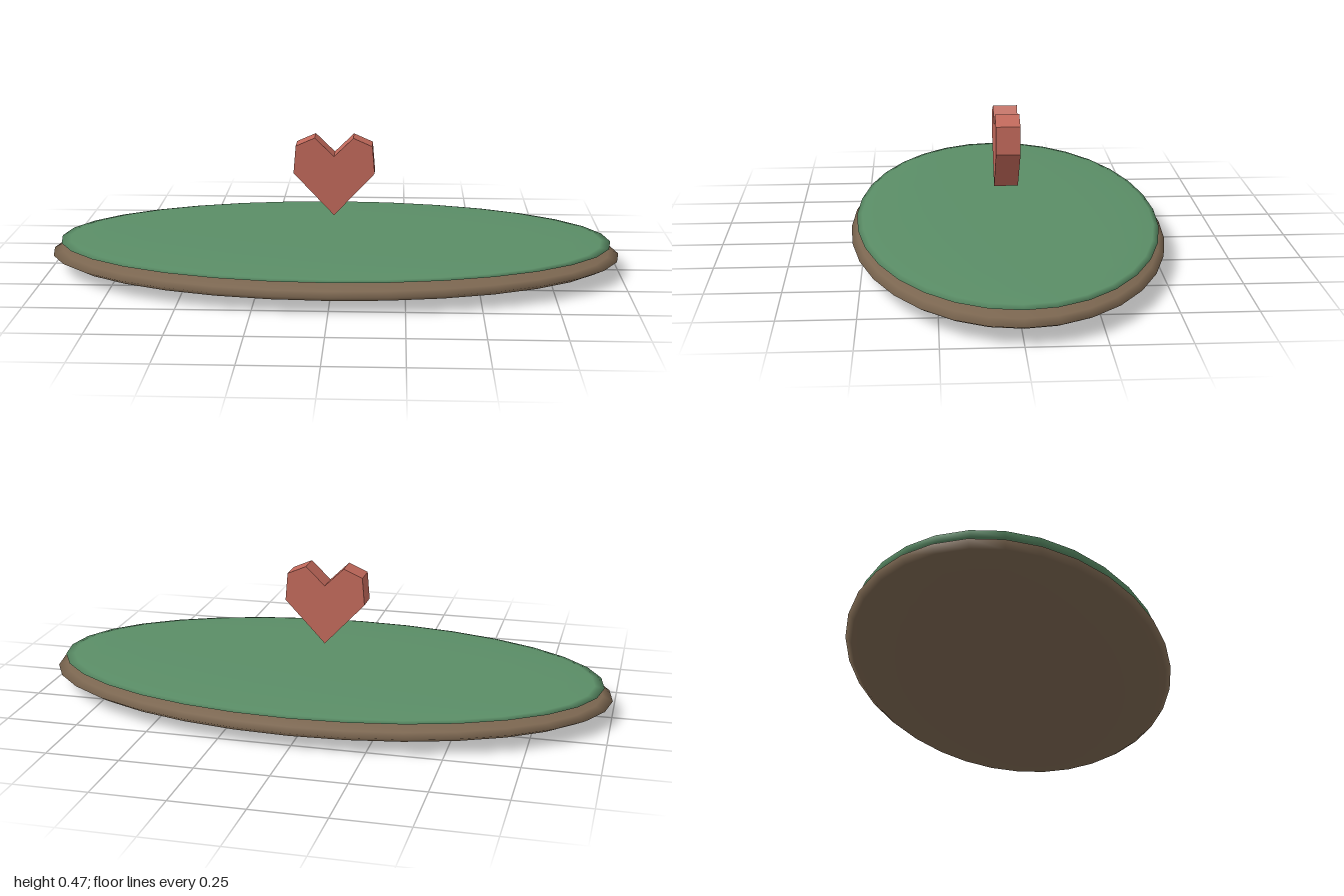
import * as THREE from 'three';

export function createModel() {
  const model = new THREE.Group();
  const material = (name, color) => {
    const m = new THREE.MeshStandardMaterial({ color });
    m.name = name;
    return m;
  };
  const soil = material('soil brown', 0x7b6650);
  const grass = material('grass green', 0x5a8d66);
  const red = material('heart red', 0xc0685a);

  // Flattened spheres: soil base with a thinner grass layer above it
  const disc = (name, mat, rx, ry, rz, y) => {
    const geometry = new THREE.SphereGeometry(1, 32, 12);
    geometry.scale(rx, ry, rz);
    const mesh = new THREE.Mesh(geometry, mat);
    mesh.name = name;
    mesh.position.y = y;
    model.add(mesh);
  };
  disc('soilBase', soil, 1, 0.06, 0.545, 0.06);
  disc('grassTop', grass, 0.97, 0.018, 0.525, 0.104);

  // Floating faceted heart, its right half mirrored to the left
  const half = [[0.141, 0.35], [0.133, 0.446], [0.067, 0.475]];
  const outline = [
    [0, 0.2], ...half, [0, 0.41],
    ...half.slice().reverse().map(([x, y]) => [-x, y]),
  ].map(([x, y]) => new THREE.Vector2(x, y));
  const depth = 0.084;
  const heartGeometry = new THREE.ExtrudeGeometry(new THREE.Shape(outline), {
    depth, bevelEnabled: false,
  });
  heartGeometry.translate(0, 0, -depth / 2);
  const heart = new THREE.Mesh(heartGeometry, red);
  heart.name = 'heart';
  model.add(heart);

  return model;
}
